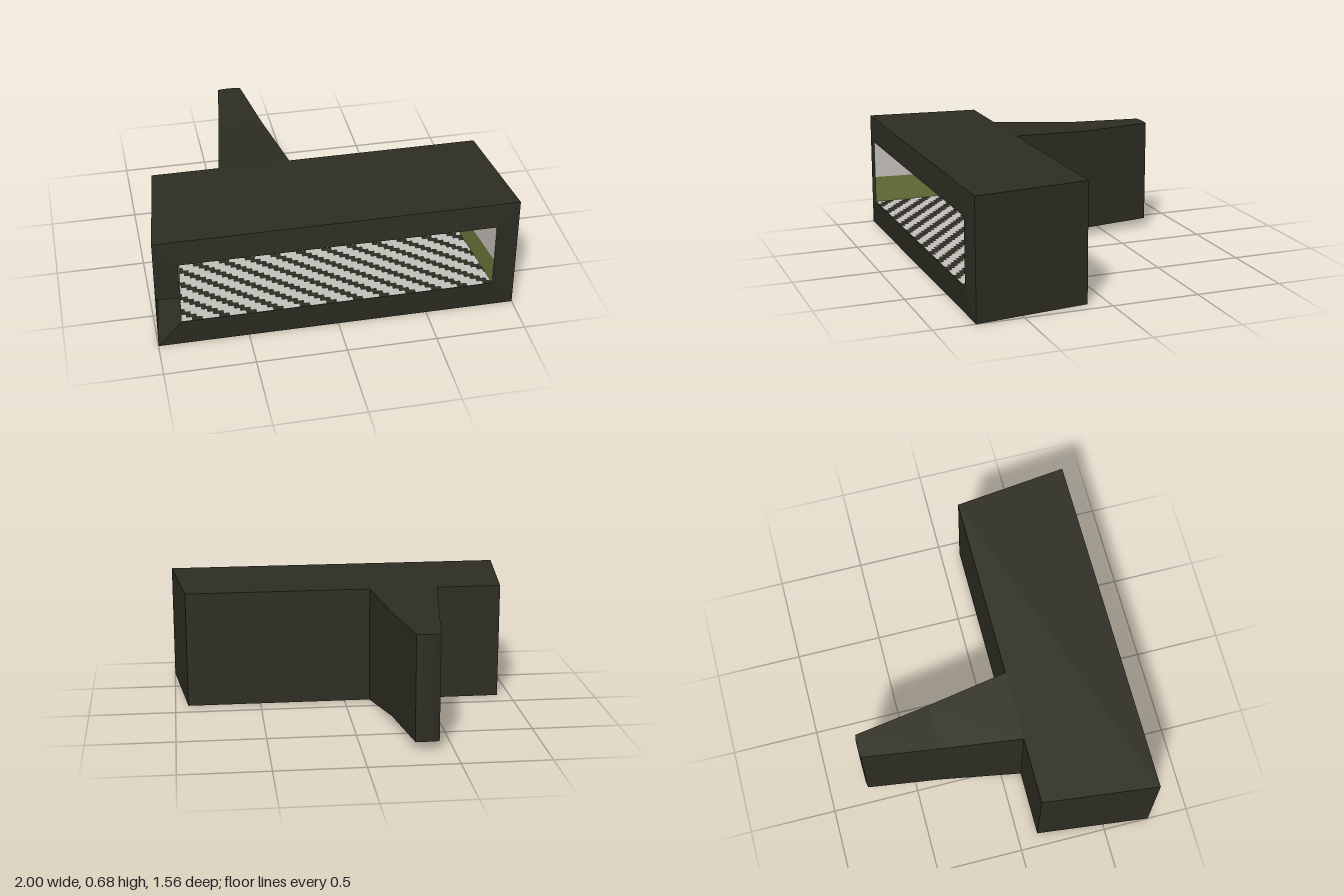
import * as THREE from 'three';

const material = (name, color) => {
  const m = new THREE.MeshStandardMaterial({ color, side: THREE.DoubleSide });
  m.name = name;
  return m;
};

// Mesh made from a list of four-cornered faces, each flat shaded
function panels(name, mat, quads) {
  const pos = [];
  for (const [a, b, c, d] of quads) pos.push(...a, ...b, ...c, ...a, ...c, ...d);
  const geo = new THREE.BufferGeometry();
  geo.setAttribute('position', new THREE.Float32BufferAttribute(pos, 3));
  geo.computeVertexNormals();
  const mesh = new THREE.Mesh(geo, mat);
  mesh.name = name;
  return mesh;
}

// Rectangular ring at depth z: bottom-left, bottom-right, top-right, top-left
const ring = (x0, x1, y0, y1, z) => [[x0, y0, z], [x1, y0, z], [x1, y1, z], [x0, y1, z]];

// Side i of the tube from ring a (front) to ring b (back): 0 floor, 1 right, 2 top, 3 left
const side = (a, b, i) => [a[i], b[i], b[(i + 1) % 4], a[(i + 1) % 4]];
const flip = (q) => [...q].reverse();
const lerp = THREE.MathUtils.lerp;

export function createModel() {
  const model = new THREE.Group();
  const dark = material('dark shell', 0x2e2d23);
  const pale = material('pale plaster', 0xc4c1bb);
  const green = material('green paint', 0x6d773d);
  const sides = [0, 1, 2, 3];

  // Outer shell of the room
  const front = ring(-1, 1, 0, 0.68, 0.765);
  const back = ring(-0.925, 0.925, 0, 0.68, 0.115);
  model.add(panels('outerShell', dark, sides.map((i) => flip(side(front, back, i)))));
  model.add(panels('outerBackWall', dark, [
    flip(ring(-0.925, -0.55, 0, 0.68, 0.115)),
    flip(ring(-0.15, 0.925, 0, 0.68, 0.115)),
  ]));

  // Mitred front frame, open at the lower left
  const mouth = ring(-0.87, 0.87, 0.16, 0.54, 0.78);
  const frame = [0, 1, 2].map((i) => side(front, mouth, i).reverse());
  frame.push([[-1, 0.32, 0.765], [-0.87, 0.32, 0.78], mouth[3], front[3]]);
  model.add(panels('frontFrame', dark, frame));

  // Outer shell of the tapering passage
  const start = ring(-0.55, -0.15, 0, 0.68, 0.115);
  const middle = ring(-0.483, -0.222, 0.05, 0.655, -0.345);
  const end = ring(-0.422, -0.288, 0.05, 0.655, -0.778);
  const passage = [];
  for (const [a, b] of [[start, middle], [middle, end]])
    for (const i of sides) passage.push(flip(side(a, b, i)));
  model.add(panels('passageShell', dark, passage));

  // Slightly bowed end of the passage
  const bow = [[-0.422, -0.778], [-0.385, -0.784], [-0.325, -0.784], [-0.288, -0.778]];
  const endFaces = [];
  for (let i = 0; i < 3; i++) {
    const [[x0, z0], [x1, z1]] = [bow[i], bow[i + 1]];
    endFaces.push([[x1, 0.05, z1], [x0, 0.05, z0], [x0, 0.655, z0], [x1, 0.655, z1]]);
  }
  for (const y of [0.05, 0.655])
    endFaces.push(bow.map(([x, z]) => [x, y, z]));
  model.add(panels('passageEnd', dark, endFaces));

  // Room interior: pale upper walls over a green lower band
  const zb = 0.17, xl = -0.81, xr = 0.805, yb = 0.175, yt = 0.525, band = 0.32;
  const rear = ring(xl, xr, yb, yt, zb);
  const bandF = ring(-0.87, 0.87, band, band, 0.78);
  const bandR = ring(xl, xr, band, band, zb);
  const doorL = -0.525, doorR = -0.205;
  model.add(panels('upperWalls', pale, [
    [bandF[0], bandR[0], rear[3], mouth[3]],
    [bandR[1], bandF[1], mouth[2], rear[2]],
    ring(xl, doorL, band, yt, zb),
    ring(doorR, xr, band, yt, zb),
  ]));
  model.add(panels('lowerWalls', green, [
    [mouth[0], rear[0], bandR[0], bandF[0]],
    [rear[1], mouth[1], bandF[1], bandR[1]],
    ring(xl, doorL, yb, band, zb),
    ring(doorR, xr, yb, band, zb),
  ]));
  model.add(panels('ceiling', pale, [side(mouth, rear, 2)]));
  model.add(panels('floor', dark, [flip(side(mouth, rear, 0))]));

  // Diagonal floor stripes, stepped in small rows and clipped at the walls
  const rows = 24, pitch = 0.148, width = 0.09, slant = 0.7;
  const floorPoint = (x, v) => [
    x, lerp(0.16, yb, v) + 0.003, lerp(0.779, zb, v),
  ];
  const stripes = [];
  for (let s = -0.9; s < 1.7; s += pitch) {
    for (let r = 0; r < rows; r++) {
      const v0 = r / rows, v1 = (r + 1) / rows;
      const limit = lerp(0.87, 0.807, v1);
      const x0 = Math.max(-limit, s - slant * v0);
      const x1 = Math.min(limit, s + width - slant * v0);
      if (x1 > x0) stripes.push([floorPoint(x0, v0), floorPoint(x1, v0), floorPoint(x1, v1), floorPoint(x0, v1)]);
    }
  }
  model.add(panels('floorStripes', pale, stripes));

  // Passage interior with a rising floor
  const door = ring(doorL, doorR, yb, yt, zb);
  const far = ring(-0.42, -0.292, 0.27, yt, -0.765);
  model.add(panels('passageInterior', dark, [...sides.map((i) => side(door, far, i)), far]));

  return model;
}
